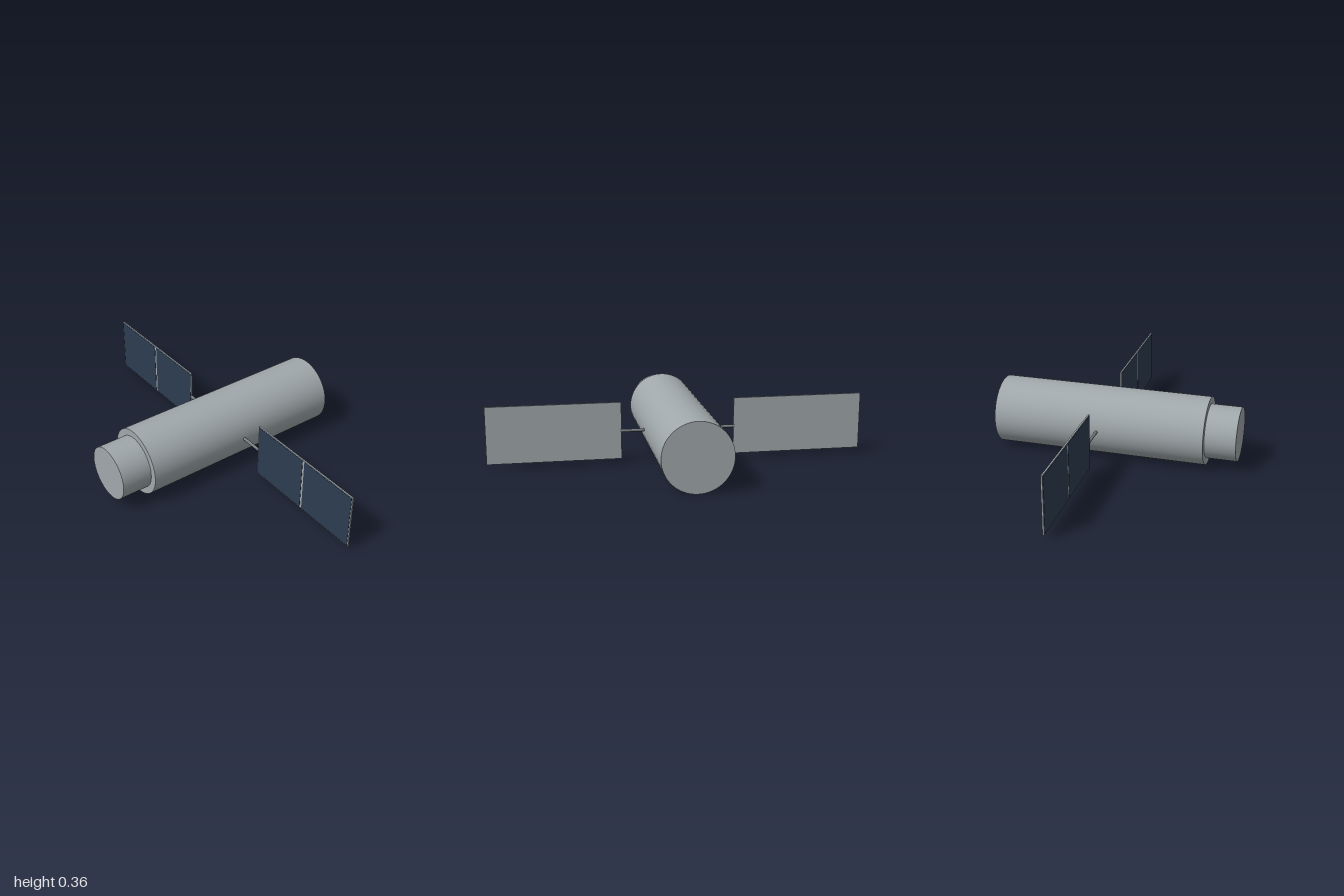
import * as THREE from 'three';

export function createModel() {
  const model = new THREE.Group();
  model.name = 'satellite';

  const mat = (name, color) => {
    const m = new THREE.MeshStandardMaterial({ color });
    m.name = name;
    return m;
  };
  const silver = mat('silver', 0xa0a8ab);
  const boomGrey = mat('boom grey', 0x777d80);
  const navy = mat('navy', 0x2d3c50);

  const add = (name, geometry, material, x, y, z) => {
    const mesh = new THREE.Mesh(geometry, material);
    mesh.name = name;
    mesh.position.set(x, y, z);
    model.add(mesh);
    return mesh;
  };

  const axisY = 0.18;
  const panelZ = -0.082;

  // Stepped cylindrical body along z
  const tube = (name, radius, back, front) =>
    add(name, new THREE.CylinderGeometry(radius, radius, front - back, 64).rotateX(Math.PI / 2),
      silver, 0, axisY, (front + back) / 2);
  tube('mainBody', 0.18, -0.648, 0.484);
  tube('frontBarrel', 0.143, 0.484, 0.648);

  // Solar wings, mirrored on both sides
  for (const [side, s] of [['left', 1], ['right', -1]]) {
    add(side + 'Boom', new THREE.CylinderGeometry(0.008, 0.008, 0.14, 16).rotateZ(Math.PI / 2),
      boomGrey, s * 0.235, axisY, panelZ);
    add(side + 'Panel', new THREE.BoxGeometry(0.7, 0.304, 0.008), silver, s * 0.65, 0.182, panelZ);

    // Dark cells on the front face, with a bare strip between them
    for (const x of [0.4745, 0.8255]) {
      add(side + 'SolarCell', new THREE.BoxGeometry(0.338, 0.296, 0.002),
        navy, s * x, 0.182, panelZ + 0.0045);
    }
  }
  return model;
}
